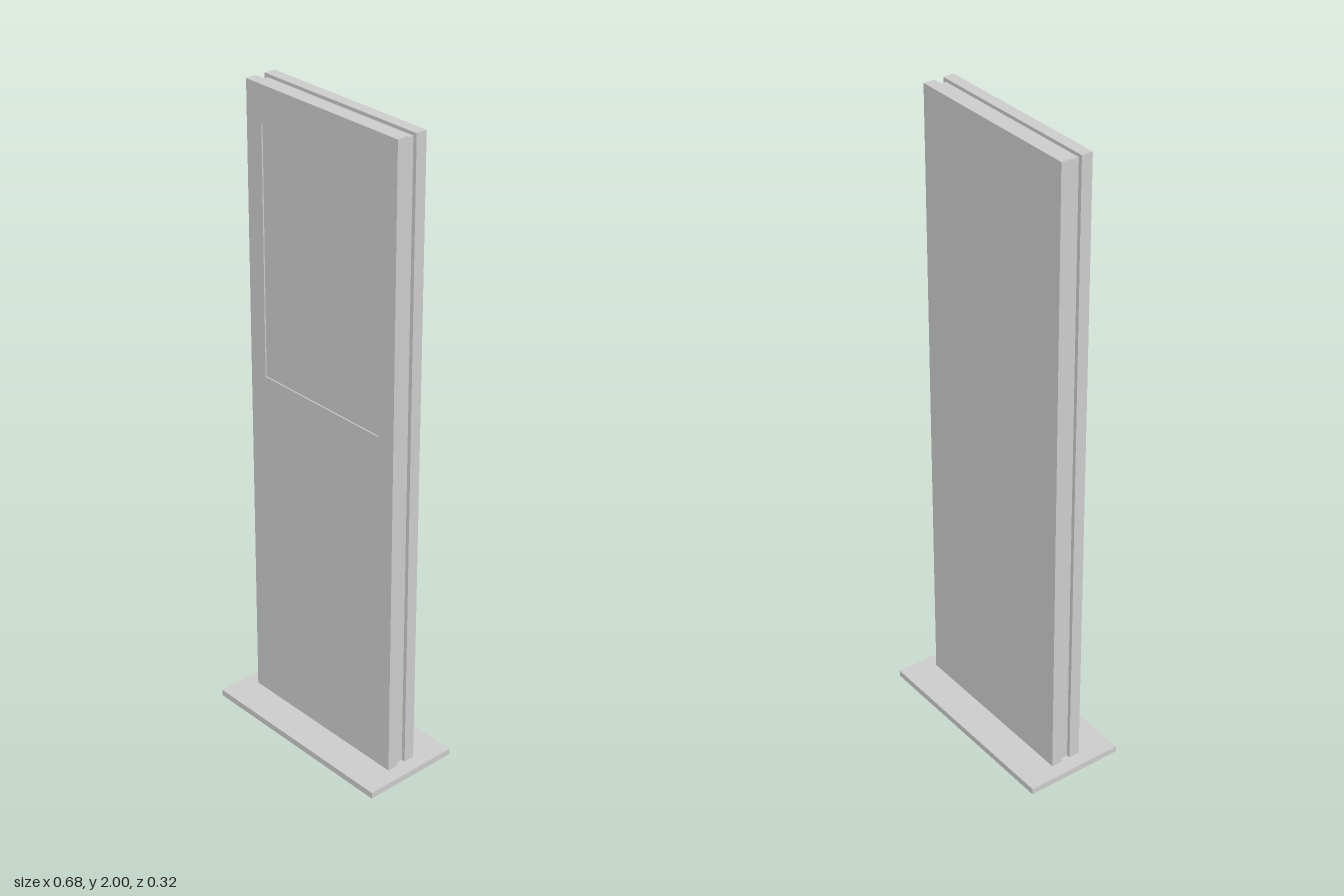
import * as THREE from 'three';

export function createModel() {
  const group = new THREE.Group();
  const grey = new THREE.MeshStandardMaterial({ color: 0xcccccc });
  grey.name = 'light grey';

  function add(name, geometry, x, y, z) {
    const mesh = new THREE.Mesh(geometry, grey);
    mesh.name = name;
    mesh.position.set(x, y, z);
    group.add(mesh);
  }
  // Box given by its size, bottom height and centre depth
  const box = (name, w, h, d, bottom, z) =>
    add(name, new THREE.BoxGeometry(w, h, d), 0, bottom + h / 2, z);

  const baseTop = 0.02, top = 2, halfW = 0.297, recess = 0.004;
  const panelH = top - baseTop;

  // Floor plate, inner core and rear panel
  box('basePlate', 0.684, baseTop, 0.316, 0, 0);
  box('core', 0.57, 1.99 - baseTop, 0.03, baseTop, 0);
  box('backPanel', halfW * 2, panelH, 0.035, baseTop, -0.0325);

  // Front panel: slab behind a thin face with the screen opening cut out
  box('frontPanel', halfW * 2, panelH, 0.035 - recess, baseTop, 0.0325 - recess / 2);
  const face = new THREE.Shape([
    new THREE.Vector2(-halfW, baseTop), new THREE.Vector2(halfW, baseTop),
    new THREE.Vector2(halfW, top), new THREE.Vector2(-halfW, top),
  ]);
  face.holes.push(new THREE.Path([
    new THREE.Vector2(-0.236, 1.12), new THREE.Vector2(-0.236, 1.89),
    new THREE.Vector2(0.236, 1.89), new THREE.Vector2(0.236, 1.12),
  ]));
  add('screenFrame', new THREE.ExtrudeGeometry(face, { depth: recess, bevelEnabled: false }),
    0, 0, 0.05 - recess);

  return group;
}
